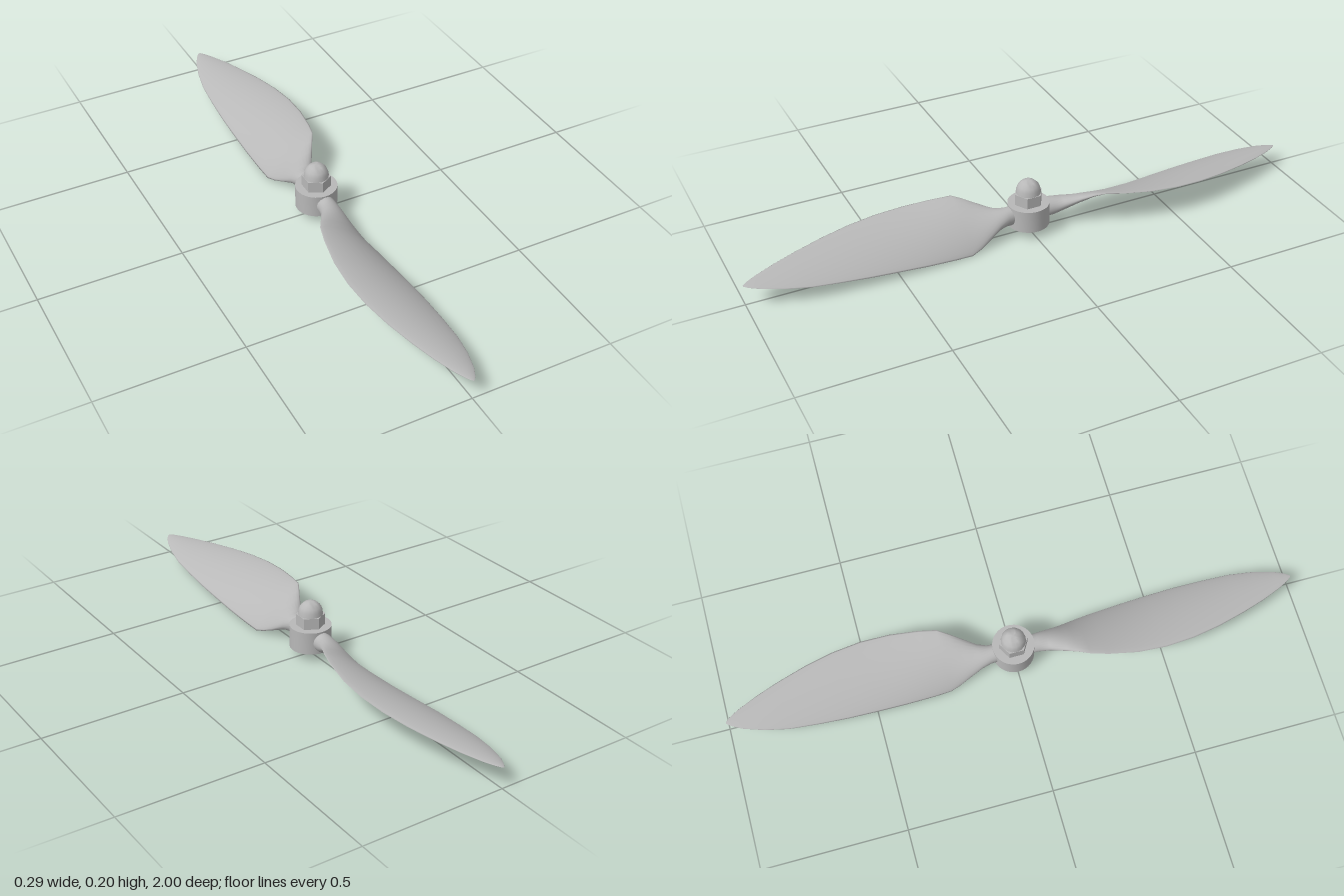
import * as THREE from 'three';
import { toCreasedNormals } from 'three/addons/utils/BufferGeometryUtils.js';

// Blade stations: z, left edge x/y, right edge x/y, half thickness, camber
const STATIONS = [
  [0.05, -0.03, 0.073, 0.03, 0.07, 0.034, 0],
  [0.085, -0.032, 0.078, 0.031, 0.066, 0.033, 0],
  [0.12, -0.042, 0.09, 0.036, 0.052, 0.027, 0.003],
  [0.17, -0.07, 0.113, 0.05, 0.026, 0.018, 0.008],
  [0.205, -0.09, 0.128, 0.061, 0.011, 0.012, 0.012],
  [0.24, -0.11, 0.138, 0.07, 0.001, 0.008, 0.015],
  [0.3, -0.126, 0.131, 0.075, 0.006, 0.007, 0.016],
  [0.4, -0.143, 0.121, 0.079, 0.014, 0.007, 0.016],
  [0.5, -0.147, 0.113, 0.081, 0.024, 0.006, 0.015],
  [0.6, -0.138, 0.105, 0.081, 0.033, 0.006, 0.014],
  [0.7, -0.118, 0.097, 0.077, 0.042, 0.005, 0.012],
  [0.8, -0.09, 0.089, 0.07, 0.051, 0.005, 0.009],
  [0.88, -0.063, 0.083, 0.055, 0.06, 0.004, 0.006],
  [0.95, -0.034, 0.078, 0.033, 0.068, 0.003, 0.003],
  [0.985, -0.015, 0.076, 0.015, 0.072, 0.002, 0.001],
  [1.0, -0.003, 0.075, 0.003, 0.074, 0, 0],
];

// Loft cambered elliptical sections from the hub out to the tip
function bladeGeometry(sides = 24) {
  const positions = [], index = [];
  STATIONS.forEach(([z, xl, yl, xr, yr, t, camber], i) => {
    const hx = (xr - xl) / 2, hy = (yr - yl) / 2, len = Math.hypot(hx, hy);
    for (let j = 0; j < sides; j++) {
      const a = (j / sides) * Math.PI * 2;
      const c = Math.cos(a), s = Math.sin(a);
      const lift = t * s + camber * s * s;
      positions.push(
        (xl + xr) / 2 + hx * c - (hy / len) * lift,
        (yl + yr) / 2 + hy * c + (hx / len) * lift,
        z,
      );
      if (i < STATIONS.length - 1) {
        const k = (j + 1) % sides, p = i * sides, q = p + sides;
        index.push(p + j, p + k, q + j, p + k, q + k, q + j);
      }
    }
  });
  const geometry = new THREE.BufferGeometry();
  geometry.setAttribute('position', new THREE.Float32BufferAttribute(positions, 3));
  geometry.setIndex(index);
  geometry.computeVertexNormals();
  return geometry;
}

// Turned part with crisp edges
function turned(points, segments) {
  const profile = points.map(([r, y]) => new THREE.Vector2(r, y));
  return toCreasedNormals(new THREE.LatheGeometry(profile, segments), 0.75);
}

export function createModel() {
  const group = new THREE.Group();
  group.name = 'propeller';
  const grey = new THREE.MeshStandardMaterial({ color: 0xb8b8b8 });
  grey.name = 'grey';

  const add = (name, geometry) => {
    const mesh = new THREE.Mesh(geometry, grey);
    mesh.name = name;
    group.add(mesh);
    return mesh;
  };

  // Two identical blades, half a turn apart
  const blade = bladeGeometry();
  add('frontBlade', blade);
  add('backBlade', blade).rotation.y = Math.PI;

  // Hub with a shaft bore open at the bottom
  add('hub', turned([
    [0.034, 0.11], [0.034, 0.03], [0.072, 0.03], [0.072, 0.11], [0.034, 0.11],
  ], 36));

  // Hexagonal nut with a domed cap
  const nut = new THREE.CylinderGeometry(0.05, 0.05, 0.04, 6);
  add('hexNut', toCreasedNormals(nut, 0.3)).position.y = 0.13;
  add('domeCap', turned([
    [0.043, 0.15], [0.041, 0.165], [0.036, 0.178], [0.023, 0.191], [0.011, 0.196], [0, 0.197],
  ], 16));

  return group;
}
